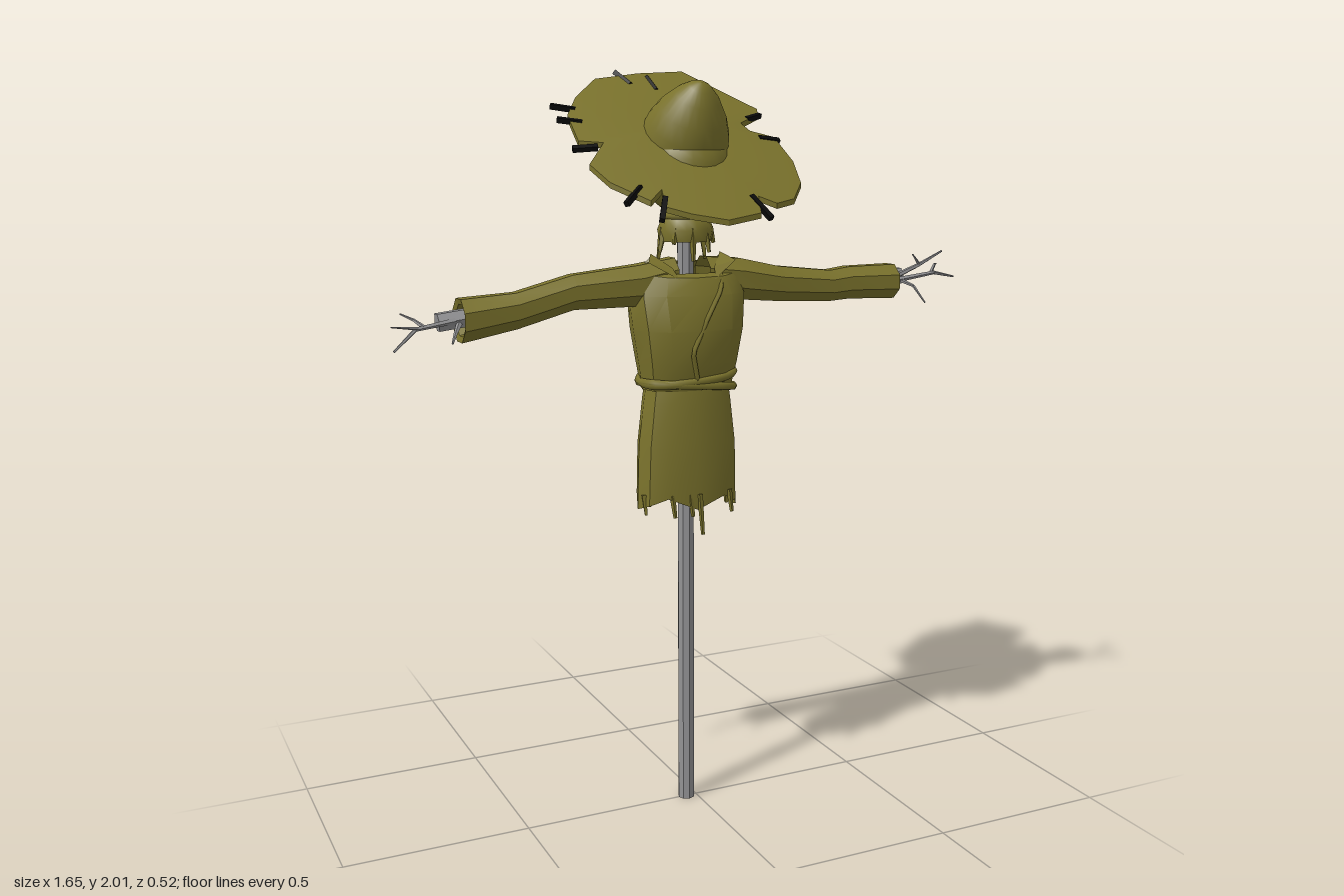
import * as THREE from 'three';
import { toCreasedNormals } from 'three/addons/utils/BufferGeometryUtils.js';

const CX = -0.03; // axis of the pole and body
const V = (x, y, z) => new THREE.Vector3(x, y, z);

// Skin a list of closed rings (arrays of Vector3 with equal counts)
function loft(rings, crease = 0.5) {
  const n = rings[0].length, pos = [], idx = [];
  rings.forEach(r => r.forEach(p => pos.push(p.x, p.y, p.z)));
  for (let j = 0; j < rings.length - 1; j++) {
    for (let i = 0; i < n; i++) {
      const a = j * n + i, b = j * n + (i + 1) % n, d = a + n, c = b + n;
      idx.push(a, d, b, b, d, c);
    }
  }
  const g = new THREE.BufferGeometry();
  g.setAttribute('position', new THREE.Float32BufferAttribute(pos, 3));
  g.setIndex(idx);
  return toCreasedNormals(g, crease);
}

// Horizontal rounded-square ring; lift(i, angle) shifts points vertically
function bodyRing(y, rx, rz, cz = 0, lift = () => 0, n = 12) {
  const soft = v => Math.sign(v) * Math.pow(Math.abs(v), 0.8);
  return Array.from({ length: n }, (_, i) => {
    const a = i / n * Math.PI * 2;
    return V(CX + rx * soft(Math.cos(a)), y + lift(i, a), cz + rz * soft(Math.sin(a)));
  });
}

export function createModel() {
  const group = new THREE.Group();
  const cloth = new THREE.MeshStandardMaterial({ color: 0x7a722c, side: THREE.DoubleSide });
  cloth.name = 'olive cloth';
  const wood = new THREE.MeshStandardMaterial({ color: 0x929294 });
  wood.name = 'grey wood';
  const straw = new THREE.MeshStandardMaterial({ color: 0x0a0a0a });
  straw.name = 'black straw';

  const add = (name, geo, mat) => {
    const m = new THREE.Mesh(geo, mat);
    m.name = name;
    group.add(m);
    return m;
  };
  // Tapered stick between two points
  const stick = (name, p, q, r0, r1, mat, sides = 5) => {
    const dir = q.clone().sub(p);
    const g = new THREE.CylinderGeometry(r1, r0, dir.length(), sides);
    const m = add(name, toCreasedNormals(g, 0.6), mat);
    m.position.copy(p).add(q).multiplyScalar(0.5);
    m.quaternion.setFromUnitVectors(V(0, 1, 0), dir.normalize());
    return m;
  };

  // Pole and the two ends of the crossbar
  stick('pole', V(CX, 0, 0), V(CX, 1.66, 0), 0.023, 0.023, wood, 8);
  stick('rightArmBar', V(-0.5, 1.41, 0), V(-0.7, 1.385, 0), 0.025, 0.025, wood, 6);
  stick('leftArmBar', V(0.45, 1.44, 0), V(0.635, 1.45, 0), 0.025, 0.025, wood, 6);

  // Twig fingers
  const twig = (name, pts, r) => {
    for (let i = 0; i < pts.length - 1; i++) {
      const t = k => r * (1 - 0.65 * k / (pts.length - 1));
      stick(name, V(...pts[i]), V(...pts[i + 1]), t(i), t(i + 1), wood);
    }
  };
  twig('leftFinger', [[0.6, 1.44, 0.03], [0.73, 1.457, 0.03], [0.82, 1.44, 0]], 0.008);
  twig('leftFinger', [[0.72, 1.455, 0.03], [0.76, 1.475, -0.01], [0.79, 1.475, -0.045]], 0.006);
  twig('leftThumb', [[0.61, 1.45, 0.02], [0.655, 1.485, 0.07], [0.69, 1.525, 0.125]], 0.008);
  twig('leftThumb', [[0.655, 1.485, 0.07], [0.625, 1.515, 0.08]], 0.005);
  twig('leftFinger', [[0.62, 1.44, 0.03], [0.645, 1.425, 0.06], [0.665, 1.38, 0.09]], 0.006);
  twig('rightFinger', [[-0.66, 1.39, 0.02], [-0.76, 1.375, 0.03], [-0.82, 1.325, 0.045]], 0.008);
  twig('rightFinger', [[-0.74, 1.378, 0.028], [-0.76, 1.395, 0.01], [-0.79, 1.41, -0.005]], 0.006);
  twig('rightFinger', [[-0.75, 1.376, 0.03], [-0.825, 1.385, 0.045]], 0.005);
  twig('rightThumb', [[-0.65, 1.38, 0.02], [-0.67, 1.365, 0.06], [-0.69, 1.345, 0.1]], 0.008);

  // Coat body with an open neckline, low at the front
  const neck = (i, a) => Math.sin(a) > 0.3 ? -0.045 : Math.sin(a) < -0.3 ? -0.02 : 0;
  add('coatBody', loft([
    bodyRing(1.18, 0.125, 0.08),
    bodyRing(1.25, 0.137, 0.1, 0.003),
    bodyRing(1.34, 0.152, 0.112, 0.004),
    bodyRing(1.43, 0.162, 0.1),
    bodyRing(1.49, 0.14, 0.08, 0, (i, a) => -0.015 * Math.abs(Math.sin(a))),
    bodyRing(1.53, 0.1, 0.058, 0.005, neck),
  ]), cloth);

  // Overlapping front edge and collar points
  const edge = new THREE.CurvePath();
  const lapel = [V(0.045, 1.48, 0.06), V(0.03, 1.445, 0.092), V(-0.02, 1.37, 0.112),
    V(-0.06, 1.285, 0.112), V(-0.035, 1.2, 0.09)];
  for (let i = 0; i < 4; i++) edge.add(new THREE.LineCurve3(lapel[i], lapel[i + 1]));
  add('lapelEdge', new THREE.TubeGeometry(edge, 16, 0.006, 4), cloth);
  for (const s of [-1, 1]) {
    const flap = [[0.1, 1.535, 0], [0.125, 1.515, 0.045], [0.05, 1.47, 0.078], [0.06, 1.5, 0.05]];
    const g = new THREE.BufferGeometry().setFromPoints(
      [0, 1, 3, 3, 1, 2].map(i => V(CX + s * flap[i][0], flap[i][1], flap[i][2])));
    g.computeVertexNormals();
    add('collar', g, cloth);
  }

  // Skirt with a ragged hem
  const hem = [0.02, -0.01, 0.015, -0.015, 0.02, 0, -0.015, 0.02, -0.01, 0.025, -0.015, 0.01];
  add('coatSkirt', loft([
    bodyRing(0.872, 0.143, 0.076, 0.003, i => hem[i]),
    bodyRing(1.03, 0.138, 0.08, 0.003),
    bodyRing(1.15, 0.123, 0.076, 0.003),
    bodyRing(1.2, 0.115, 0.072, 0.003),
  ]), cloth);
  for (const [x, z, y] of [[-0.165, 0.03, 0.845], [-0.1, 0.075, 0.84], [-0.05, 0.08, 0.84],
    [-0.025, 0.088, 0.79], [0.07, 0.07, 0.84], [0.09, 0.045, 0.855],
    [0.06, -0.06, 0.85], [-0.12, -0.05, 0.845], [0.1, -0.025, 0.84]]) {
    stick('hemTatter', V(x, 0.9, z * 0.9), V(x + 0.005, y, z), 0.008, 0.005, cloth, 4);
  }

  // Two crossed rope turns at the waist
  for (const s of [-1, 1]) {
    const pts = bodyRing(1.2 + s * 0.012, 0.128, 0.086, 0.003, (i, a) => s * 0.014 * Math.cos(a + 0.5));
    add('belt', new THREE.TubeGeometry(new THREE.CatmullRomCurve3(pts, true), 36, 0.012, 6, true), cloth);
  }

  // Sleeves: sections of [x, y, half height, half depth], hollow at the cuff
  const sleeve = (name, s, sections) => add(name, loft(sections.map(([x, y, h, d]) =>
    Array.from({ length: 8 }, (_, i) => {
      const a = (i + 0.5) / 8 * Math.PI * 2;
      return V(x, y + h * 1.06 * Math.cos(a), -s * d * 1.06 * Math.sin(a));
    })), 0.6), cloth);
  sleeve('rightSleeve', -1, [[-0.07, 1.475, 0.05, 0.05], [-0.17, 1.455, 0.054, 0.056],
    [-0.35, 1.445, 0.045, 0.045], [-0.5, 1.405, 0.046, 0.044], [-0.645, 1.387, 0.055, 0.055],
    [-0.64, 1.387, 0.04, 0.04], [-0.56, 1.395, 0.03, 0.03]]);
  sleeve('leftSleeve', 1, [[0.02, 1.475, 0.05, 0.05], [0.12, 1.462, 0.056, 0.056],
    [0.24, 1.444, 0.048, 0.045], [0.4, 1.432, 0.043, 0.042], [0.46, 1.438, 0.045, 0.043],
    [0.605, 1.437, 0.048, 0.053], [0.6, 1.437, 0.036, 0.04], [0.52, 1.437, 0.03, 0.03]]);

  // Sack head, tied neck and its frayed ends
  const head = add('head', new THREE.SphereGeometry(0.119, 24, 16), cloth);
  head.position.set(CX, 1.752, 0);
  const neckGeo = new THREE.LatheGeometry([[0.068, 1.565], [0.074, 1.595], [0.064, 1.62],
    [0.052, 1.632], [0.06, 1.65], [0.075, 1.67]].map(p => new THREE.Vector2(...p)), 16);
  add('neckSack', neckGeo, cloth).position.x = CX;
  add('neckTie', new THREE.TorusGeometry(0.058, 0.01, 6, 20).rotateX(Math.PI / 2), cloth)
    .position.set(CX, 1.632, 0);
  for (let i = 0; i < 9; i++) {
    const a = i / 9 * Math.PI * 2 + 0.3, c = Math.cos(a), s = Math.sin(a);
    stick('neckFray', V(CX + 0.062 * c, 1.6, 0.062 * s),
      V(CX + 0.075 * c, 1.56 - 0.022 * (i % 3), 0.07 * s), 0.011, 0.005, cloth, 4);
  }

  // Hat brim: ragged outline (x, z) laid on a shallow tilted cone
  const brimY = (x, z) => 1.865 - 0.74 * z - 0.18 * Math.hypot(x - CX, z);
  const outline = [[0.17, -0.025], [0.24, -0.02], [0.255, 0.06], [0.24, 0.13], [0.19, 0.185],
    [0.13, 0.205], [0.085, 0.19], [0.07, 0.235], [-0.03, 0.255], [-0.12, 0.235], [-0.18, 0.21],
    [-0.17, 0.165], [-0.21, 0.19], [-0.29, 0.125], [-0.32, 0.065], [-0.26, 0.01],
    [-0.32, -0.01], [-0.315, -0.1], [-0.27, -0.16], [-0.19, -0.225], [-0.06, -0.24],
    [0.08, -0.262], [0.245, -0.13], [0.235, -0.105], [0.155, -0.05]];
  const ring = (k, drop) => outline.map(([px, pz]) => {
    const x = CX + (px - CX) * k, z = pz * k;
    return V(x, brimY(x, z) - drop, z);
  });
  add('hatBrim', loft([ring(0, 0.014), ring(1, 0.014), ring(1, 0), ring(0, 0)], 0.3), cloth);

  // Hat crown, a blunt cone leaning with the brim
  const crown = add('hatCrown', new THREE.LatheGeometry([[0.116, -0.03], [0.108, 0.01], [0.088, 0.055],
    [0.058, 0.1], [0.03, 0.128], [0.012, 0.139], [0, 0.141]].map(p => new THREE.Vector2(...p)), 24), cloth);
  crown.position.set(CX, 1.85, 0.016);
  crown.rotation.x = 0.637;

  // Straws poking out of the brim: centre (x, z) and direction (x, z)
  for (const [x, z, dx, dz] of [[-0.11, -0.225, -0.3, -1], [-0.04, -0.195, 0, -1],
    [-0.315, -0.135, -1, -0.5], [-0.315, -0.085, -1, -0.45], [-0.31, 0.01, -1, -0.15],
    [-0.245, 0.165, -1, 0.7], [-0.185, 0.21, -0.6, 1], [0.08, 0.215, 0.5, 1],
    [0.215, -0.095, 1, -0.55], [0.22, -0.012, 1, -0.1]]) {
    const l = 0.032 / Math.hypot(dx, dz);
    const end = k => V(x + k * l * dx, brimY(x + k * l * dx, z + k * l * dz) - 0.005, z + k * l * dz);
    stick('hatStraw', end(-1), end(1), 0.0095, 0.0095, straw, 4);
  }
  return group;
}
